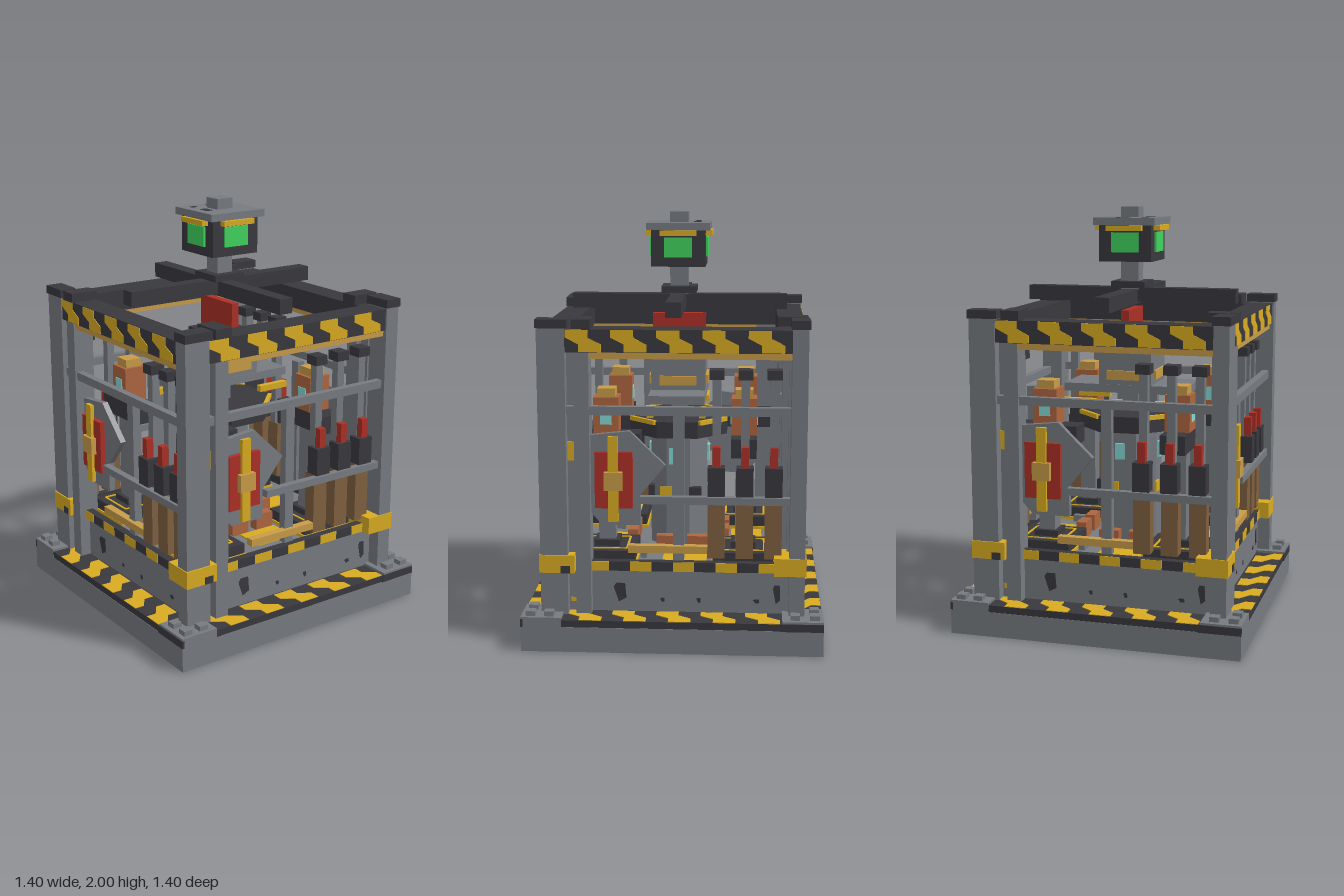
import * as THREE from 'three';

const mat = (name, color) => {
  const m = new THREE.MeshStandardMaterial({ color });
  m.name = name;
  return m;
};
const gray = mat('steel gray', 0x777b80), dark = mat('dark iron', 0x39383e),
  yellow = mat('warning yellow', 0xdaac22), red = mat('red', 0xac3026),
  wood = mat('brown wood', 0x806040), copper = mat('copper', 0xae6640),
  green = mat('lamp green', 0x40d45e), cyan = mat('cyan glass', 0x84dad6),
  brass = mat('brass', 0xc89c48), black = mat('black underside', 0x29292b);

// Box given by its minimum and maximum along each axis
function box(parent, name, material, x0, x1, y0, y1, z0, z1) {
  const m = new THREE.Mesh(new THREE.BoxGeometry(x1 - x0, y1 - y0, z1 - z0), material);
  m.position.set((x0 + x1) / 2, (y0 + y1) / 2, (z0 + z1) / 2);
  m.name = name;
  parent.add(m);
  return m;
}

// Flat outline in x and y, extruded forward from z
function plate(parent, name, material, points, z, depth) {
  const shape = new THREE.Shape(points.map(p => new THREE.Vector2(...p)));
  const m = new THREE.Mesh(new THREE.ExtrudeGeometry(shape, { depth, bevelEnabled: false }), material);
  m.position.z = z;
  m.name = name;
  parent.add(m);
  return m;
}

// Yellow stripes between x0 and x1, each stepping sideways halfway up
function stripes(name, x0, x1, y0, y1, period, step) {
  const g = new THREE.Group();
  g.name = name;
  const clamp = v => Math.min(x1, Math.max(x0, v));
  const low = y0 + (y1 - y0) * 0.35, high = y0 + (y1 - y0) * 0.65;
  for (let x = x0; x < x1 - step; x += period) {
    const a = x + period / 2;
    plate(g, 'stripe', yellow, [[clamp(x + step), y0], [clamp(a + step), y0], [clamp(a + step), low],
      [clamp(a), high], [clamp(a), y1], [x, y1], [x, high], [clamp(x + step), low]], 0, 0.004);
  }
  return g;
}

function octagon(parent, name, material, r, y0, y1) {
  const g = new THREE.CylinderGeometry(r, r, y1 - y0, 8).toNonIndexed();
  g.rotateY(Math.PI / 8);
  g.computeVertexNormals();
  const m = new THREE.Mesh(g, material);
  m.position.y = (y0 + y1) / 2;
  m.name = name;
  parent.add(m);
}

// Frame, tool rack and painted trim of one side
function makeSide() {
  const s = new THREE.Group();
  s.name = 'side';

  // Hollow base wall, striped edge and corner pad with bolts
  box(s, 'baseWall', gray, -0.7, 0.69, 0, 0.12, 0.69, 0.7);
  box(s, 'baseStrip', dark, -0.51, 0.51, 0.12, 0.153, 0.54, 0.698);
  const floorStripes = stripes('baseStripes', -0.49, 0.5, -0.697, -0.56, 0.207, 0.06);
  floorStripes.rotation.x = -Math.PI / 2;
  floorStripes.position.y = 0.152;
  s.add(floorStripes);
  box(s, 'baseBand', dark, 0.5, 0.701, 0.118, 0.155, 0.69, 0.702);
  box(s, 'cornerPad', gray, -0.7, -0.51, 0.12, 0.165, 0.51, 0.7);
  for (const [x, z] of [[-0.655, 0.66], [-0.655, 0.57], [-0.57, 0.66]])
    box(s, 'bolt', gray, x - 0.022, x + 0.022, 0.165, 0.188, z - 0.022, z + 0.022);

  // Plinth stains
  for (const [x, y, w, h] of [[-0.25, 0.245, 0.06, 0.09], [0.485, 0.245, 0.035, 0.09],
    [-0.05, 0.21, 0.02, 0.02], [0.12, 0.21, 0.02, 0.025], [0.39, 0.21, 0.03, 0.02]])
    plate(s, 'stain', dark, [[x - w / 2, y + h * 0.3], [x - w * 0.1, y - h / 2],
      [x + w / 2, y - h * 0.3], [x + w * 0.4, y + h / 2], [x - w * 0.3, y + h / 2]], 0.549, 0.004);

  // Corner column, web, inner post and their caps
  box(s, 'column', gray, -0.615, -0.487, 0.15, 1.5, 0.54, 0.613);
  box(s, 'columnCap', dark, -0.62, -0.475, 1.5, 1.54, 0.535, 0.62);
  box(s, 'columnWeb', gray, -0.5, -0.44, 0.15, 1.39, 0.53, 0.56);
  box(s, 'post', gray, -0.45, -0.38, 0.15, 1.5, 0.5, 0.605);
  box(s, 'postCap', dark, -0.456, -0.37, 1.495, 1.54, 0.475, 0.615);
  box(s, 'columnCollar', yellow, -0.62, -0.455, 0.355, 0.44, 0.47, 0.62);
  box(s, 'collarChip', dark, -0.52, -0.475, 0.355, 0.39, 0.615, 0.623);
  box(s, 'columnMark', yellow, -0.487, -0.45, 0.88, 0.97, 0.555, 0.565);
  box(s, 'columnMark', yellow, -0.48, -0.455, 0.2, 0.22, 0.555, 0.565);

  // Striped belt above the plinth
  box(s, 'belt', dark, -0.455, 0.48, 0.355, 0.4, 0.53, 0.57);
  const belt = stripes('beltBlocks', -0.4, 0.48, 0.355, 0.4, 0.2, 0);
  belt.position.z = 0.568;
  s.add(belt);

  // Top rail
  box(s, 'topRail', dark, -0.487, 0.545, 1.39, 1.495, 0.48, 0.607);
  const rail = stripes('railStripes', -0.485, 0.54, 1.392, 1.493, 0.207, 0.06);
  rail.position.z = 0.606;
  s.add(rail);
  box(s, 'railTrim', brass, -0.38, 0.54, 1.36, 1.39, 0.55, 0.595);
  box(s, 'innerRailTrim', brass, -0.38, 0.54, 1.365, 1.39, 0.49, 0.52);

  // Rack bars, slat and tools
  box(s, 'upperBar', gray, -0.487, 0.545, 1.1, 1.14, 0.56, 0.595);
  box(s, 'lowerBar', gray, -0.15, 0.545, 0.685, 0.72, 0.56, 0.595);
  box(s, 'rackSlat', gray, 0, 0.05, 0.4, 1.1, 0.5, 0.54);
  for (const x of [0.2, 0.332, 0.465]) {
    box(s, 'toolHandle', wood, x - 0.04, x + 0.04, 0.42, 0.72, 0.495, 0.56);
    box(s, 'toolHead', dark, x - 0.04, x + 0.04, 0.72, 0.855, 0.51, 0.58);
    box(s, 'toolGrip', red, x - 0.018, x + 0.018, 0.855, 0.95, 0.535, 0.57);
    box(s, 'toolRod', gray, x - 0.02, x + 0.02, 0.72, 1.26, 0.495, 0.535);
    box(s, 'rodHead', dark, x - 0.034, x + 0.034, 1.26, 1.305, 0.48, 0.55);
  }
  box(s, 'toolShelf', brass, -0.21, 0.16, 0.44, 0.475, 0.52, 0.56);

  // Control panel with lever
  plate(s, 'panelBack', gray, [[-0.38, 0.63], [-0.33, 0.575], [-0.15, 0.575], [-0.15, 0.72],
    [-0.035, 0.86], [-0.15, 0.97], [-0.2, 1.02], [-0.38, 1.0]], 0.53, 0.03);
  box(s, 'panel', red, -0.36, -0.185, 0.66, 0.925, 0.555, 0.585);
  box(s, 'lever', yellow, -0.297, -0.25, 0.6, 1.0, 0.58, 0.6);
  box(s, 'leverBlock', brass, -0.315, -0.23, 0.75, 0.835, 0.585, 0.612);

  // Corner piston unit
  const u = new THREE.Group();
  u.name = 'pistonUnit';
  u.position.set(-0.328, 0, 0.325);
  s.add(u);
  box(u, 'unitTrim', yellow, -0.15, 0.15, 0.35, 0.37, -0.15, 0.15);
  box(u, 'unitBase', dark, -0.142, 0.142, 0.35, 0.42, -0.142, 0.142);
  for (const k of [-1, 1]) {
    box(u, 'unitInnerTrim', yellow, -0.1, 0.1, 0.415, 0.424, k * 0.1 - 0.005, k * 0.1 + 0.005);
    box(u, 'unitInnerTrim', yellow, k * 0.1 - 0.005, k * 0.1 + 0.005, 0.415, 0.424, -0.1, 0.1);
  }
  box(u, 'unitFoot', dark, -0.06, 0.06, 0.42, 0.45, -0.06, 0.06);
  box(u, 'unitPillar', gray, -0.04, 0.04, 0.45, 0.88, -0.04, 0.04);
  box(u, 'unitArm', dark, -0.155, 0.16, 0.88, 0.97, -0.06, 0.06);
  box(u, 'unitBlock', copper, -0.06, 0.06, 0.97, 1.145, -0.06, 0.06);
  box(u, 'unitCap', brass, -0.043, 0.043, 1.145, 1.185, -0.043, 0.043);
  box(u, 'unitGlass', cyan, -0.028, 0.028, 1.015, 1.085, -0.064, 0.064);

  // Floor plate and details on the central core
  box(s, 'floorPlate', yellow, -0.06, 0.15, 0.35, 0.362, 0.26, 0.415);
  box(s, 'floorLatch', gray, -0.17, -0.14, 0.35, 0.39, 0.29, 0.36);
  box(s, 'floorBlock', copper, -0.1, 0, 0.355, 0.435, 0.2, 0.25);
  box(s, 'floorBlock', copper, 0.05, 0.15, 0.355, 0.435, 0.2, 0.25);
  box(s, 'coreGlass', cyan, -0.045, 0, 0.77, 0.85, 0.14, 0.152);
  box(s, 'coreMark', yellow, -0.09, -0.03, 0.6, 0.655, 0.14, 0.15);
  box(s, 'coreVent', dark, 0.055, 0.115, 0.6, 0.655, 0.12, 0.15);
  box(s, 'towerLabel', brass, -0.09, 0.09, 1.165, 1.21, 0.125, 0.145);

  // Yellow edge on the diagonal of the core ring
  const edge = new THREE.Group();
  edge.name = 'ringEdge';
  edge.rotation.y = Math.PI / 4;
  box(edge, 'ringTrim', yellow, -0.09, 0.09, 0.985, 1.006, 0.232, 0.25);
  s.add(edge);

  // Lantern pane and trim
  box(s, 'lampPane', green, -0.067, 0.067, 1.785, 1.88, 0.125, 0.14);
  box(s, 'lampTrim', yellow, -0.088, 0.088, 1.888, 1.913, 0.125, 0.163);
  return s;
}

export function createModel() {
  const g = new THREE.Group();
  g.name = 'caged machine';

  // Base deck and plinth
  box(g, 'underside', black, -0.69, 0.69, 0.108, 0.114, -0.69, 0.69);
  box(g, 'deck', gray, -0.695, 0.695, 0.112, 0.12, -0.695, 0.695);
  box(g, 'plinth', gray, -0.55, 0.55, 0.12, 0.355, -0.55, 0.55);

  for (let i = 0; i < 4; i++) {
    const side = makeSide();
    side.rotation.y = i * Math.PI / 2;
    g.add(side);
  }

  // Central core and tower
  octagon(g, 'core', gray, 0.15, 0.355, 0.92);
  octagon(g, 'coreRing', dark, 0.258, 0.92, 1.0);
  box(g, 'spindle', gray, -0.04, 0.04, 1.0, 1.14, -0.04, 0.04);
  box(g, 'wingPlate', gray, -0.31, 0.31, 1.1, 1.14, -0.135, 0.135);
  for (const i of [-1, 1]) for (const k of [-1, 1])
    box(g, 'wingTrim', yellow, i * 0.233 - 0.083, i * 0.233 + 0.083, 1.035, 1.065, k * 0.125 - 0.015, k * 0.125 + 0.015);
  box(g, 'tower', gray, -0.132, 0.132, 1.14, 1.32, -0.132, 0.132);
  box(g, 'towerCap', dark, -0.11, 0.11, 1.32, 1.36, -0.11, 0.11);
  box(g, 'towerFin', red, -0.02, 0.02, 1.36, 1.505, -0.13, 0.13);

  // Roof cross beams
  box(g, 'crossBeamX', dark, -0.525, 0.525, 1.54, 1.61, -0.036, 0.036);
  box(g, 'crossBeamZ', dark, -0.036, 0.036, 1.53, 1.602, -0.525, 0.525);

  // Lantern on its pole
  box(g, 'lampFoot', dark, -0.085, 0.085, 1.61, 1.642, -0.085, 0.085);
  box(g, 'lampPole', gray, -0.044, 0.044, 1.6, 1.75, -0.044, 0.044);
  box(g, 'lampBody', dark, -0.13, 0.13, 1.74, 1.92, -0.13, 0.13);
  box(g, 'lampRoof', gray, -0.153, 0.153, 1.915, 1.95, -0.153, 0.153);
  box(g, 'lampKnob', gray, -0.044, 0.044, 1.95, 2.0, -0.044, 0.044);
  for (const [x, z, w, d] of [[-0.09, -0.09, 0.015, 0.012], [0.02, -0.09, 0.03, 0.018], [-0.09, 0.02, 0.017, 0.03]])
    box(g, 'roofStain', dark, x - w, x + w, 1.948, 1.952, z - d, z + d);
  return g;
}
